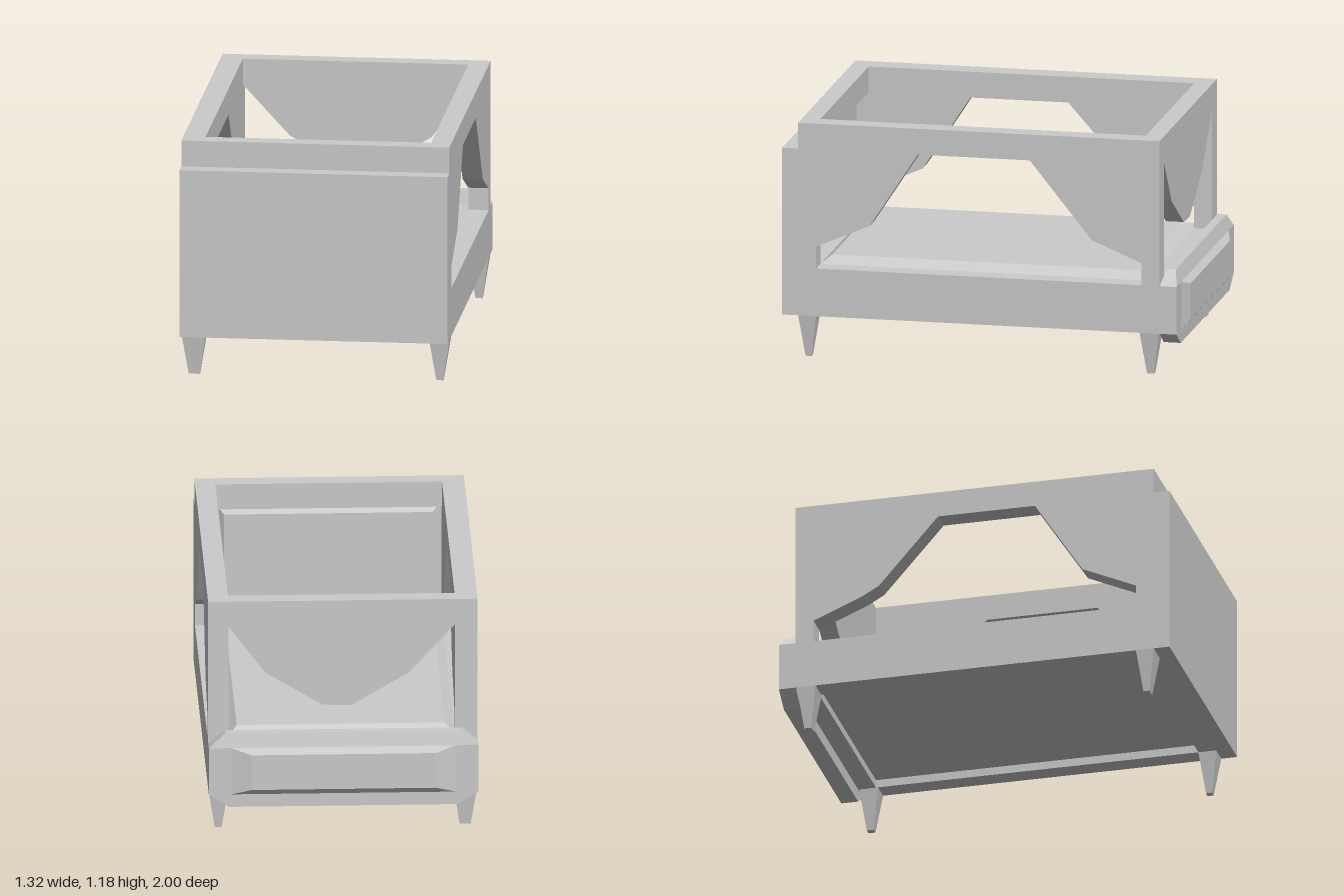
import * as THREE from 'three';

const material = new THREE.MeshStandardMaterial({ color: 0xcccccc, flatShading: true });

// Overall frame limits: outer shell and inner opening
const X0 = -0.66, X1 = 0.66, IX0 = -0.55, IX1 = 0.56;
const Z0 = -0.89, Z1 = 0.92, IZ0 = -0.80, IZ1 = 0.83;
const BASE = 0.21, RAIL = 0.45, LINTEL = 1.05, TOP = 1.18;

export function createModel() {
  const group = new THREE.Group();

  const add = (name, geometry) => {
    const mesh = new THREE.Mesh(geometry, material);
    mesh.name = name;
    group.add(mesh);
    return mesh;
  };

  // Box from min to max; the face on the given axis and side is inset by `inset` per axis
  const block = (name, min, max, axis = 1, side = 1, inset = [0, 0, 0]) => {
    const geometry = new THREE.BoxGeometry(1, 1, 1);
    const pos = geometry.attributes.position;
    for (let i = 0; i < pos.count; i++) {
      const s = [pos.getX(i), pos.getY(i), pos.getZ(i)];
      const tapered = s[axis] * side > 0;
      const p = s.map((v, k) => {
        const shift = tapered && k !== axis ? inset[k] : 0;
        return v < 0 ? min[k] + shift : max[k] - shift;
      });
      pos.setXYZ(i, ...p);
    }
    geometry.computeVertexNormals();
    return add(name, geometry);
  };

  const polygon = (points) => new THREE.Shape(points.map(([u, v]) => new THREE.Vector2(u, v)));
  const extrude = (shape, depth) => new THREE.ExtrudeGeometry(shape, { depth, bevelEnabled: false });

  // Side walls with a draped opening, drawn in z and y
  const sideWall = (name, x0, x1, rearDrape) => {
    const wall = polygon([[Z0, BASE], [Z1, BASE], [Z1, TOP], [Z0, TOP]]);
    wall.holes.push(polygon([
      [IZ0, RAIL], [IZ0, 0.56], ...rearDrape, [0.32, LINTEL], [0.56, 0.68], [IZ1, 0.56], [IZ1, RAIL],
    ]));
    const geometry = extrude(wall, x1 - x0);
    geometry.rotateY(-Math.PI / 2);
    geometry.translate(x1, 0, 0);
    add(name, geometry);
  };
  sideWall('leftSideWall', IX1, X1, [[-0.55, 0.665], [-0.24, LINTEL]]);
  sideWall('rightSideWall', X0, IX0, [[-0.55, 0.665], [-0.47, 0.71], [-0.17, LINTEL]]);

  // Cross beams at both ends and the front lintel
  block('frontBeam', [IX0, BASE, IZ1], [IX1, RAIL, Z1]);
  block('frontLintel', [IX0, LINTEL, IZ1], [IX1, TOP, Z1]);
  block('backBeam', [IX0, BASE, Z0], [IX1, RAIL, IZ0]);

  // Back lintel with its hanging swag
  const swag = extrude(polygon([
    [IX0, TOP], [IX0, LINTEL], [-0.32, 0.80], [-0.04, 0.635], [0.10, 0.64],
    [0.38, 0.81], [IX1, LINTEL], [IX1, TOP],
  ]), IZ0 - Z0);
  swag.translate(0, 0, Z0);
  add('backSwag', swag);

  // Mattress over a recessed floor
  block('floor', [IX0, 0.25, IZ0], [IX1, RAIL, IZ1]);
  block('mattress', [IX0, RAIL, IZ0], [IX1, 0.49, IZ1], 1, 1, [0.045, 0, 0.05]);

  // Tall front panel with a padded inner face
  block('frontPanel', [X0, BASE, Z1], [X1, LINTEL, 1]);
  block('frontPanelPad', [IX0, RAIL, 0.88], [IX1, LINTEL, Z1], 2, -1, [0.045, 0.045, 0]);

  // Low back board with bevelled top, bottom and rear pad
  block('backBoard', [X0, BASE, -0.975], [X1, RAIL, Z0]);
  block('backBoardTop', [X0, RAIL, -0.975], [X1, 0.52, Z0], 1, 1, [0.08, 0, 0.02]);
  block('backBoardBottom', [X0, 0.145, -0.975], [X1, BASE, Z0], 1, -1, [0.1, 0, 0]);
  block('backBoardPad', [-0.55, BASE, -1], [0.55, RAIL, -0.975], 2, -1, [0.1, 0.03, 0]);

  // Four tapered legs
  for (const [side, x0, x1] of [['Right', X0, -0.54], ['Left', IX1, X1]]) {
    for (const [end, z0, z1] of [['front', IZ1, Z1], ['back', -0.885, -0.79]]) {
      block(`${end}${side}Leg`, [x0, 0, z0], [x1, BASE, z1], 1, -1, [0.033, 0, 0.03]);
    }
  }

  return group;
}
